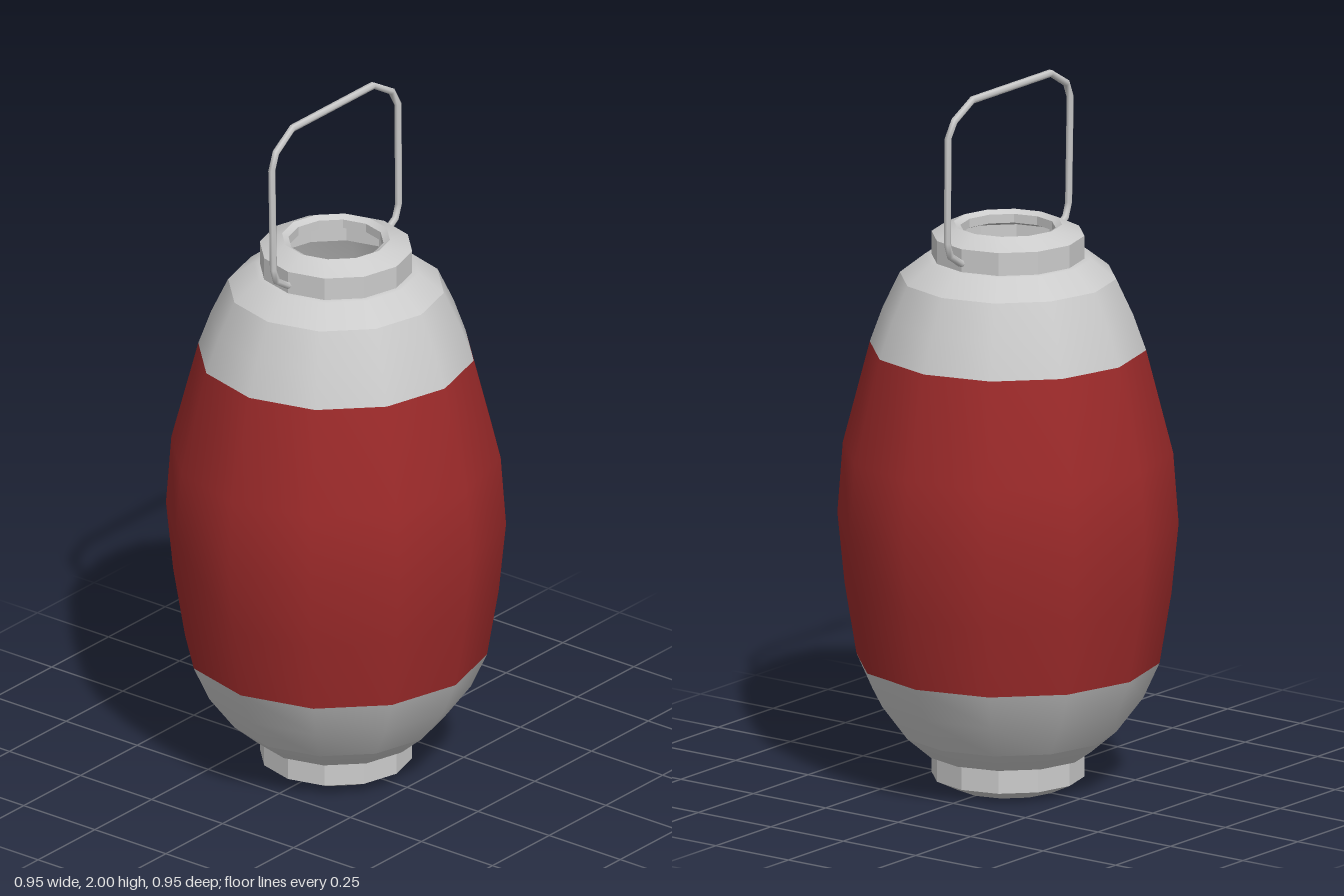
import * as THREE from 'three';
import { toCreasedNormals } from 'three/addons/utils/BufferGeometryUtils.js';

const SIDES = 12;
const material = (color) => new THREE.MeshStandardMaterial({ color, side: THREE.DoubleSide });
const grey = material(0xcccccc);
const red = material(0x9c2a2a);

// Revolves [radius, height] pairs, listed from bottom to top on the outside
function revolve(profile) {
  return new THREE.LatheGeometry(profile.map(([r, y]) => new THREE.Vector2(r, y)), SIDES);
}

// Path with straight segments, sampled exactly at its corners
class Polyline extends THREE.Curve {
  constructor(points) {
    super();
    this.points = points;
  }
  getPoint(t, target = new THREE.Vector3()) {
    const last = this.points.length - 1;
    const i = Math.min(Math.floor(t * last + 1e-9), last - 1);
    return target.lerpVectors(this.points[i], this.points[i + 1], t * last - i);
  }
  getUtoTmapping(u) {
    return u;
  }
}

export function createModel() {
  const group = new THREE.Group();
  const add = (name, geometry, mat = grey) => {
    const mesh = new THREE.Mesh(geometry, mat);
    mesh.name = name;
    group.add(mesh);
  };

  // Barrel-shaped shade with a coloured middle band
  add('lowerShoulder', revolve([[0.2, 0.1], [0.23, 0.1], [0.3, 0.16]]));
  add('lowerShade', revolve([[0.3, 0.16], [0.375, 0.26], [0.42, 0.36]]));
  add('middleShade', revolve([
    [0.42, 0.36], [0.453, 0.56], [0.473, 0.76], [0.458, 0.96], [0.383, 1.25],
  ]), red);
  add('upperShade', revolve([[0.383, 1.25], [0.347, 1.35], [0.3, 1.45]]));
  add('upperShoulder', revolve([[0.3, 1.45], [0.23, 1.505], [0.2, 1.505]]));

  // Open collars, the lower one mirrored from the upper
  const collar = [[0.212, 1.5], [0.212, 1.57], [0.15, 1.6], [0.132, 1.59], [0.132, 1.565], [0.19, 1.545], [0.19, 1.5]];
  const mirrored = collar.map(([r, y]) => [r, 1.6 - y]).reverse();
  add('topCollar', toCreasedNormals(revolve(collar), 0.45));
  add('bottomCollar', toCreasedNormals(revolve(mirrored), 0.45));

  // Wire handle, hooked into both sides of the top collar
  const half = [
    [0.19, 1.53, 0], [0.215, 1.53, 0], [0.262, 1.56, 0], [0.276, 1.6, 0],
    [0.278, 1.9, -0.004], [0.255, 1.945, -0.008], [0.178, 1.99, -0.012],
  ];
  const left = half.map((p) => new THREE.Vector3(...p));
  const right = half.map(([x, y, z]) => new THREE.Vector3(-x, y, z)).reverse();
  const path = new Polyline([...left, ...right]);
  add('handle', new THREE.TubeGeometry(path, path.points.length - 1, 0.0105, 6));

  return group;
}
